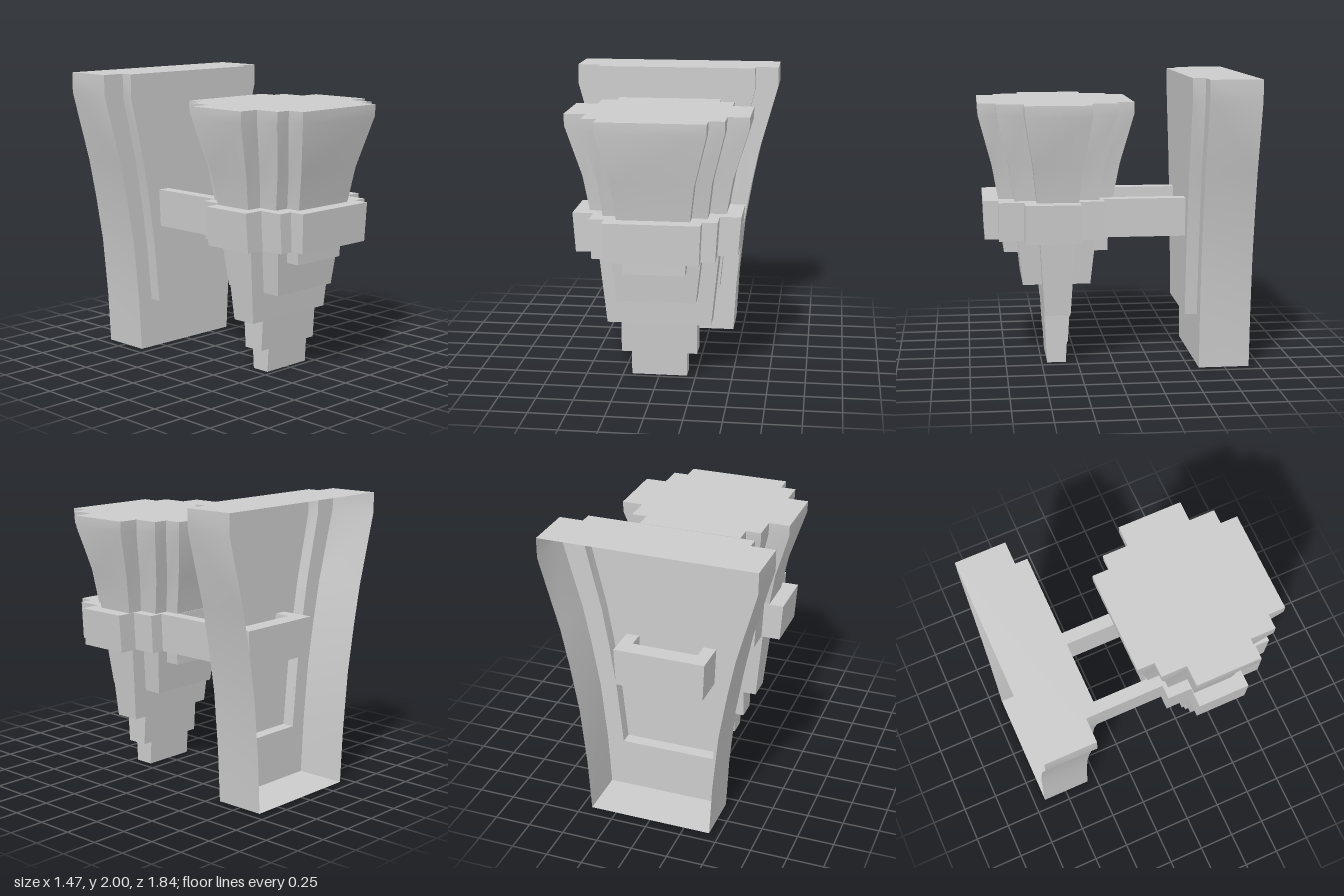
import * as THREE from 'three';
import { toCreasedNormals } from 'three/addons/utils/BufferGeometryUtils.js';

const material = new THREE.MeshStandardMaterial({ color: 0xcccccc, side: THREE.DoubleSide });

function addMesh(parent, name, geometry) {
  const mesh = new THREE.Mesh(geometry, material);
  mesh.name = name;
  parent.add(mesh);
  return mesh;
}

// Skin counter-clockwise outlines [height, points] stacked along z; caps are optional.
function loft(levels, startCap = true, endCap = true) {
  const pos = [];
  const put = (h, p) => pos.push(p[0], p[1], h);
  for (let i = 0; i < levels.length - 1; i++) {
    const [h0, a] = levels[i], [h1, b] = levels[i + 1];
    a.forEach((p, j) => {
      const k = (j + 1) % a.length;
      put(h0, p); put(h0, a[k]); put(h1, b[k]);
      put(h0, p); put(h1, b[k]); put(h1, b[j]);
    });
  }
  const cap = ([h, pts], flip) => {
    const contour = pts.map(p => new THREE.Vector2(...p));
    for (const f of THREE.ShapeUtils.triangulateShape(contour, [])) {
      (flip ? [f[0], f[2], f[1]] : f).forEach(i => put(h, pts[i]));
    }
  };
  if (startCap) cap(levels[0], true);
  if (endCap) cap(levels[levels.length - 1], false);
  const g = new THREE.BufferGeometry();
  g.setAttribute('position', new THREE.Float32BufferAttribute(pos, 3));
  return toCreasedNormals(g, 0.45);
}

// Stepped plan: half-widths x shrink while half-depths z grow.
function steppedPlan(x, z) {
  const quarter = [];
  x.forEach((v, i) => {
    quarter.push([v, z[i]]);
    if (i < x.length - 1) quarter.push([x[i + 1], z[i]]);
  });
  const back = [...quarter].reverse();
  return [
    ...quarter,
    ...back.map(([a, b]) => [-a, b]),
    ...quarter.map(([a, b]) => [-a, -b]),
    ...back.map(([a, b]) => [a, -b]),
  ];
}

// Symmetric outline from [y, half-width] pairs listed bottom to top.
const mirrored = profile => [
  ...profile.map(([y, w]) => [w, y]),
  ...[...profile].reverse().map(([y, w]) => [-w, y]),
];

const toShape = pts => new THREE.Shape(pts.map(p => new THREE.Vector2(...p)));

export function createModel() {
  const model = new THREE.Group();
  model.name = 'wallLamp';

  // Flared back plate: an open shell with a raised front panel
  const plateProfile = [[0, 0.43], [0.37, 0.45], [0.78, 0.49], [1.1, 0.545], [1.37, 0.6], [1.86, 0.735], [2, 0.735]];
  const panelProfile = [[0.355, 0.33], [0.78, 0.37], [1.1, 0.415], [1.37, 0.46], [1.84, 0.57], [2, 0.57]];
  const plate = mirrored(plateProfile);
  const panel = mirrored(panelProfile);
  const backPlate = new THREE.Group();
  backPlate.name = 'backPlate';
  model.add(backPlate);
  addMesh(backPlate, 'plateWalls', loft([[-0.92, plate], [-0.57, plate]], false, false));
  addMesh(backPlate, 'raisedPanel', loft([[-0.57, panel], [-0.485, panel]], false, true));

  // Plate face: a U-shaped frame around the raised panel
  const n = plateProfile.length, m = panelProfile.length;
  const frame = [
    ...plate.slice(n), ...plate.slice(0, n),
    ...panel.slice(0, m).reverse(), ...panel.slice(m).reverse(),
  ];
  addMesh(backPlate, 'plateFace', new THREE.ShapeGeometry(toShape(frame)).translate(0, 0, -0.57));

  // Flared lamp shade
  const lamp = new THREE.Group();
  lamp.name = 'lamp';
  lamp.position.z = 0.397;
  model.add(lamp);
  const shade = loft([
    [1.16, steppedPlan([0.455, 0.345, 0.24], [0.14, 0.285, 0.39])],
    [1.41, steppedPlan([0.5, 0.375, 0.27], [0.165, 0.325, 0.435])],
    [1.75, steppedPlan([0.605, 0.46, 0.355], [0.222, 0.4, 0.523])],
    [1.83, steppedPlan([0.608, 0.462, 0.358], [0.225, 0.405, 0.525])],
  ]);
  addMesh(lamp, 'shade', shade.rotateX(-Math.PI / 2));

  // Stepped tapering tiers: [bottom y, top y, bottom x, top x, bottom z, top z]
  const tiers = [
    [0, 0.165, 0.19, 0.19, 0.065, 0.075],
    [0.165, 0.375, 0.26, 0.26, 0.075, 0.088],
    [0.375, 0.92, 0.355, 0.41, 0.088, 0.12],
    [0.575, 0.92, 0.265, 0.305, 0.232, 0.268],
    [0.795, 0.92, 0.205, 0.215, 0.357, 0.36],
  ];
  for (const [y0, y1, x0, x1, z0, z1] of tiers) {
    const g = loft([[y0, steppedPlan([x0], [z0])], [y1, steppedPlan([x1], [z1])]]);
    addMesh(lamp, 'lowerTier', g.rotateX(-Math.PI / 2));
  }

  // Band around the lamp, with two arms joined by a crossbar behind the plate
  const side = [
    [-0.72, 0.32], [0.08, 0.32], [0.08, 0.42], [0.25, 0.42], [0.25, 0.56],
    [0.62, 0.56], [0.62, 0.42], [0.79, 0.42], [0.79, 0.32], [0.895, 0.32],
  ];
  const bracketShape = toShape(mirrored(side.map(([z, x]) => [-z, x]).reverse()));
  bracketShape.holes.push(new THREE.Path([[-0.23, 0], [-0.23, 0.6], [0.23, 0.6], [0.23, 0]].map(p => new THREE.Vector2(...p))));
  const bracket = new THREE.ExtrudeGeometry(bracketShape, { depth: 0.265, bevelEnabled: false });
  bracket.rotateX(-Math.PI / 2).translate(0, 0.905, 0);
  const p = bracket.attributes.position;
  for (let i = 0; i < p.count; i++) {
    // Slight taper towards the bottom edge
    if (p.getY(i) < 1) {
      p.setX(i, p.getX(i) * 0.965);
      if (p.getZ(i) > 0.8) p.setZ(i, p.getZ(i) - 0.01);
    }
  }
  bracket.computeVertexNormals();
  addMesh(model, 'bandAndBracket', bracket);

  return model;
}
